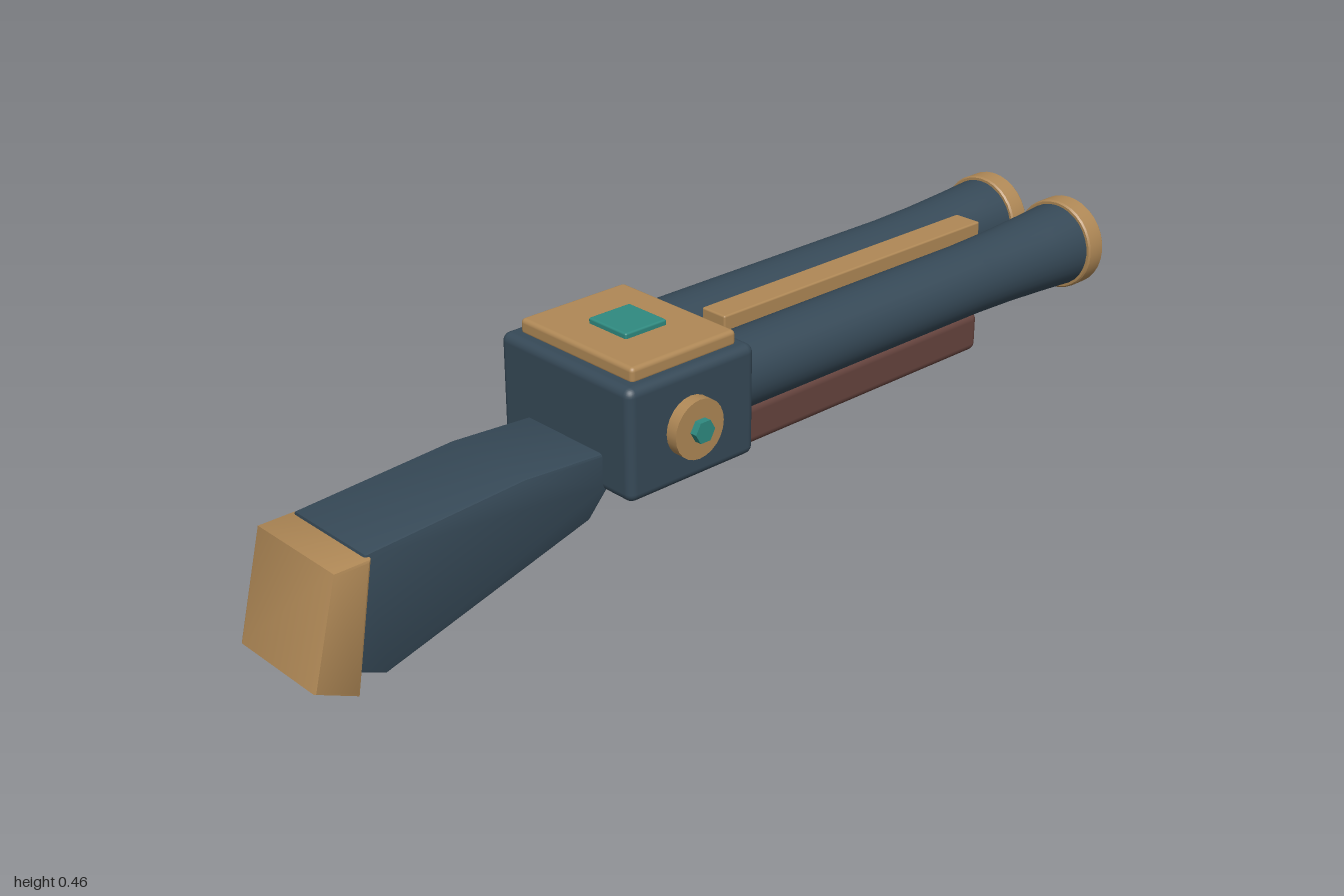
import * as THREE from 'three';
import { toCreasedNormals } from 'three/addons/utils/BufferGeometryUtils.js';
import { RoundedBoxGeometry } from 'three/addons/geometries/RoundedBoxGeometry.js';

const material = (name, color) => {
  const m = new THREE.MeshStandardMaterial({ color });
  m.name = name;
  return m;
};

export function createModel() {
  const model = new THREE.Group();
  model.name = 'doubleBarrelGun';
  const steel = material('blueSteel', 0x364957);
  const brass = material('brass', 0xaf8856);
  const teal = material('teal', 0x2f8a80);
  const wood = material('redWood', 0x66443e);

  const add = (name, geometry, mat, x = 0, y = 0, z = 0, parent = model) => {
    const mesh = new THREE.Mesh(geometry, mat);
    mesh.name = name;
    mesh.position.set(x, y, z);
    parent.add(mesh);
    return mesh;
  };

  // Rounded block given by its limits on each axis
  const block = (name, mat, [x0, x1], [y0, y1], [z0, z1], radius) =>
    add(name, new RoundedBoxGeometry(x1 - x0, y1 - y0, z1 - z0, 3, radius), mat,
      (x0 + x1) / 2, (y0 + y1) / 2, (z0 + z1) / 2);

  // Side profile of [z, y] points, extruded across x with a small bevel
  const slab = (name, mat, points, halfWidth, bevel) => {
    const shape = new THREE.Shape(points.map(([z, y]) => new THREE.Vector2(z, y)));
    const geometry = new THREE.ExtrudeGeometry(shape, {
      depth: 2 * (halfWidth - bevel), bevelEnabled: true, bevelSize: bevel,
      bevelThickness: bevel, bevelOffset: -bevel, bevelSegments: 2,
    });
    geometry.translate(0, 0, -(halfWidth - bevel));
    geometry.rotateY(-Math.PI / 2);
    return add(name, toCreasedNormals(geometry, 0.6), mat);
  };

  // Turned part along z, from [radius, z] points
  const turned = (points) => {
    const geometry = new THREE.LatheGeometry(points.map(([r, z]) => new THREE.Vector2(r, -z)), 32);
    geometry.rotateX(-Math.PI / 2);
    return toCreasedNormals(geometry, 0.6);
  };

  // Receiver with its top plate and inlay
  block('receiver', steel, [-0.185, 0.185], [0.192, 0.421], [0.037, 0.352], 0.018);
  block('topPlate', brass, [-0.159, 0.159], [0.415, 0.448], [0.063, 0.322], 0.009);
  block('topInlay', teal, [-0.053, 0.053], [0.44, 0.459], [0.141, 0.243], 0.004);

  // Barrels: flared tube with hollow bore, muzzle ring and inner lip
  const barrelGeometry = turned([
    [0.076, 0.06], [0.076, -0.65], [0.079, -0.76], [0.085, -0.87], [0.091, -0.96],
    [0.091, -0.99], [0.062, -0.99], [0.06, -0.75], [0, -0.75],
  ]);
  const ringGeometry = turned([
    [0.086, -0.952], [0.096, -0.952], [0.099, -0.956], [0.099, -0.996],
    [0.096, -1], [0.084, -1], [0.082, -0.996], [0.082, -0.985],
  ]);
  const lipGeometry = turned([
    [0.076, -0.985], [0.076, -0.996], [0.068, -0.996], [0.068, -0.985],
  ]);
  for (const side of [-1, 1]) {
    const barrel = new THREE.Group();
    barrel.name = side > 0 ? 'leftBarrel' : 'rightBarrel';
    barrel.position.set(side * 0.106, 0.333, 0);
    model.add(barrel);
    add('barrelTube', barrelGeometry, steel, 0, 0, 0, barrel);
    add('muzzleRing', ringGeometry, brass, 0, 0, 0, barrel);
    add('muzzleLip', lipGeometry, brass, 0, 0, 0, barrel);

    // Round side boss with hexagonal stud
    const boss = new THREE.CylinderGeometry(0.06, 0.06, 0.04, 24).rotateZ(Math.PI / 2);
    add('sideBoss', boss, brass, side * 0.19, 0.307, 0.203);
    const stud = toCreasedNormals(new THREE.CylinderGeometry(0.024, 0.024, 0.03, 6), 0.5);
    add('sideStud', stud.rotateZ(Math.PI / 2), teal, side * 0.21, 0.307, 0.203);
  }

  // Sighting rib between the barrels
  block('rib', brass, [-0.032, 0.032], [0.345, 0.408], [-0.785, -0.028], 0.004);

  // Forend with cross slats underneath
  block('forend', wood, [-0.133, 0.133], [0.174, 0.262], [-0.676, 0.062], 0.018);
  for (let i = 0; i < 4; i++) {
    const z = -0.06 - i * 0.176;
    block('forendSlat', brass, [-0.105, 0.105], [0.163, 0.185], [z - 0.016, z + 0.016], 0.004);
  }

  // Stock and butt plate
  slab('stock', steel, [
    [0.32, 0.268], [0.53, 0.281], [0.875, 0.261], [0.925, 0.05],
    [0.85, 0.016], [0.385, 0.145], [0.335, 0.2],
  ], 0.108, 0.006);
  slab('buttPlate', brass, [
    [0.868, 0.256], [0.945, 0.256], [1, 0.042], [0.912, 0],
  ], 0.117, 0.006);

  // Bent trigger guard rod with capped ends
  const bends = [[0.18, 0.302], [0.07, 0.366], [0.07, 0.585]]
    .map(([y, z]) => new THREE.Vector3(0, y, z));
  for (let i = 0; i < 2; i++) {
    const rod = new THREE.TubeGeometry(new THREE.LineCurve3(bends[i], bends[i + 1]), 1, 0.012, 12);
    add('triggerGuardRod', rod, brass);
  }
  for (const p of bends) {
    add('triggerGuardJoint', new THREE.SphereGeometry(0.012, 12, 8), brass, p.x, p.y, p.z);
  }

  return model;
}
